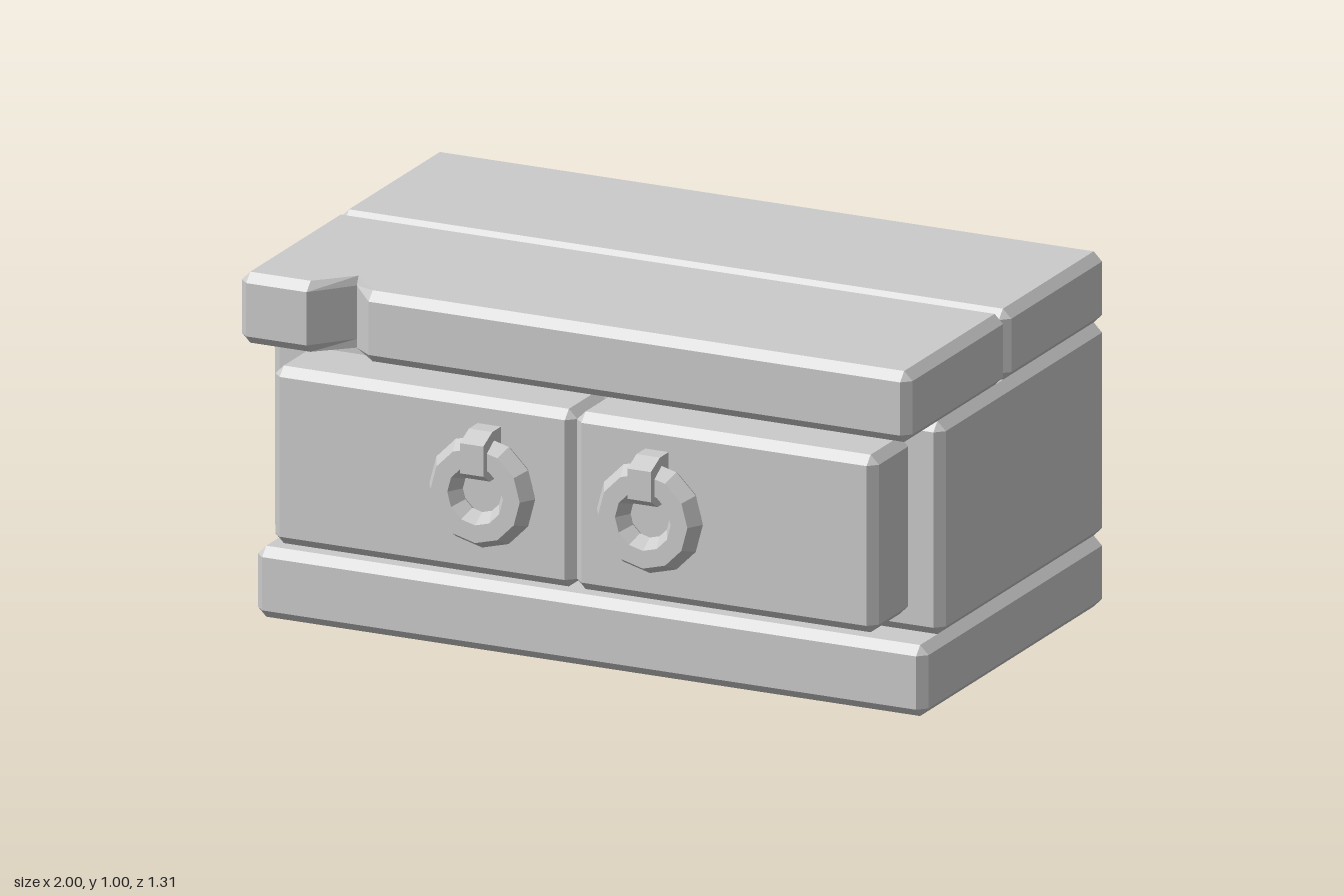
import * as THREE from 'three';

const BEVEL = 0.025;
const material = new THREE.MeshStandardMaterial({ color: 0xcccccc, flatShading: true, side: THREE.DoubleSide });

// Chamfered cross-section in the y/z plane, listed from the top front edge round to the back.
function profile(y0, y1, z0, z1, c = BEVEL) {
  return [
    [y1, z1 - c], [y1 - c, z1], [y0 + c, z1], [y0, z1 - c],
    [y0, z0 + c], [y0 + c, z0], [y1 - c, z0], [y1, z0 + c],
  ];
}

// Inset end face whose corners match the chamfered cross-section.
function endProfile(y0, y1, z0, z1, c = BEVEL) {
  const t = y1 - c, b = y0 + c, f = z1 - c, k = z0 + c;
  return [[t, f], [t, f], [b, f], [b, f], [b, k], [b, k], [t, k], [t, k]];
}

// Skin a row of cross-sections placed along x and close both ends.
function loftX(sections) {
  const n = sections[0].points.length;
  const positions = [];
  const index = [];
  for (const s of sections) for (const [y, z] of s.points) positions.push(s.x, y, z);
  for (let i = 0; i < sections.length - 1; i++) {
    for (let j = 0; j < n; j++) {
      const k = (j + 1) % n;
      const a = i * n + j, b = i * n + k, c = b + n, d = a + n;
      index.push(a, b, d, b, c, d);
    }
  }
  const last = (sections.length - 1) * n;
  for (let j = 1; j < n - 1; j++) {
    index.push(0, j + 1, j);
    index.push(last, last + j, last + j + 1);
  }
  const g = new THREE.BufferGeometry();
  g.setAttribute('position', new THREE.Float32BufferAttribute(positions, 3));
  g.setIndex(index);
  const flat = g.toNonIndexed();
  flat.computeVertexNormals();
  return flat;
}

// Chamfered block; extra sections may be slipped in along its length.
function block(x0, x1, y0, y1, z0, z1, extra = []) {
  const full = profile(y0, y1, z0, z1);
  const end = endProfile(y0, y1, z0, z1);
  return loftX([
    { x: x0, points: end },
    { x: x0 + BEVEL, points: full },
    ...extra,
    { x: x1 - BEVEL, points: full },
    { x: x1, points: end },
  ]);
}

export function createModel() {
  const model = new THREE.Group();
  const add = (name, geometry, parent = model) => {
    const mesh = new THREE.Mesh(geometry, material);
    mesh.name = name;
    parent.add(mesh);
    return mesh;
  };

  // Plinth and cabinet
  add('base', block(-1, 1, 0, 0.2, -0.655, 0.45));
  add('cabinetBody', block(-1, 1, 0.2, 0.8, -0.655, 0.345));

  // Two top planks, the front one with a V-shaped chip in its edge
  add('backTopPlank', block(-1, 1, 0.8, 1, -0.655, -0.053));
  const front = [0.8, 1, -0.053, 0.547];
  const chipRoot = profile(...front).map(([y, z]) => [y, z > 0.4 ? (y > 0.99 ? 0.425 : 0.435) : z]);
  add('frontTopPlank', block(-1, 1, ...front, [
    { x: -0.795, points: profile(...front) },
    { x: -0.7, points: chipRoot },
    { x: -0.61, points: profile(...front) },
  ]));

  // Bracket outline in the z/y plane
  const bracketShape = new THREE.Shape([
    [0.54, 0.68], [0.6, 0.68], [0.655, 0.655], [0.655, 0.57], [0.615, 0.545], [0.54, 0.545],
  ].map(([z, y]) => new THREE.Vector2(z, y)));
  const bracketGeometry = new THREE.ExtrudeGeometry(bracketShape, { depth: 0.07, bevelEnabled: false });
  bracketGeometry.translate(0, 0, -0.035).rotateY(-Math.PI / 2);
  const ringGeometry = new THREE.TorusGeometry(0.108, 0.05, 6, 12);

  // Drawers with ring pulls
  for (const side of [-1, 1]) {
    const label = side < 0 ? 'right' : 'left';
    const drawer = new THREE.Group();
    drawer.name = label + 'Drawer';
    model.add(drawer);
    const [x0, x1] = side < 0 ? [-0.9, 0] : [0, 0.9];
    add(label + 'DrawerFront', block(x0, x1, 0.25, 0.75, 0.3, 0.547), drawer);
    add(label + 'RingPull', ringGeometry, drawer).position.set(side * 0.25, 0.505, 0.59);
    add(label + 'RingBracket', bracketGeometry, drawer).position.x = side * 0.25;
  }
  return model;
}
